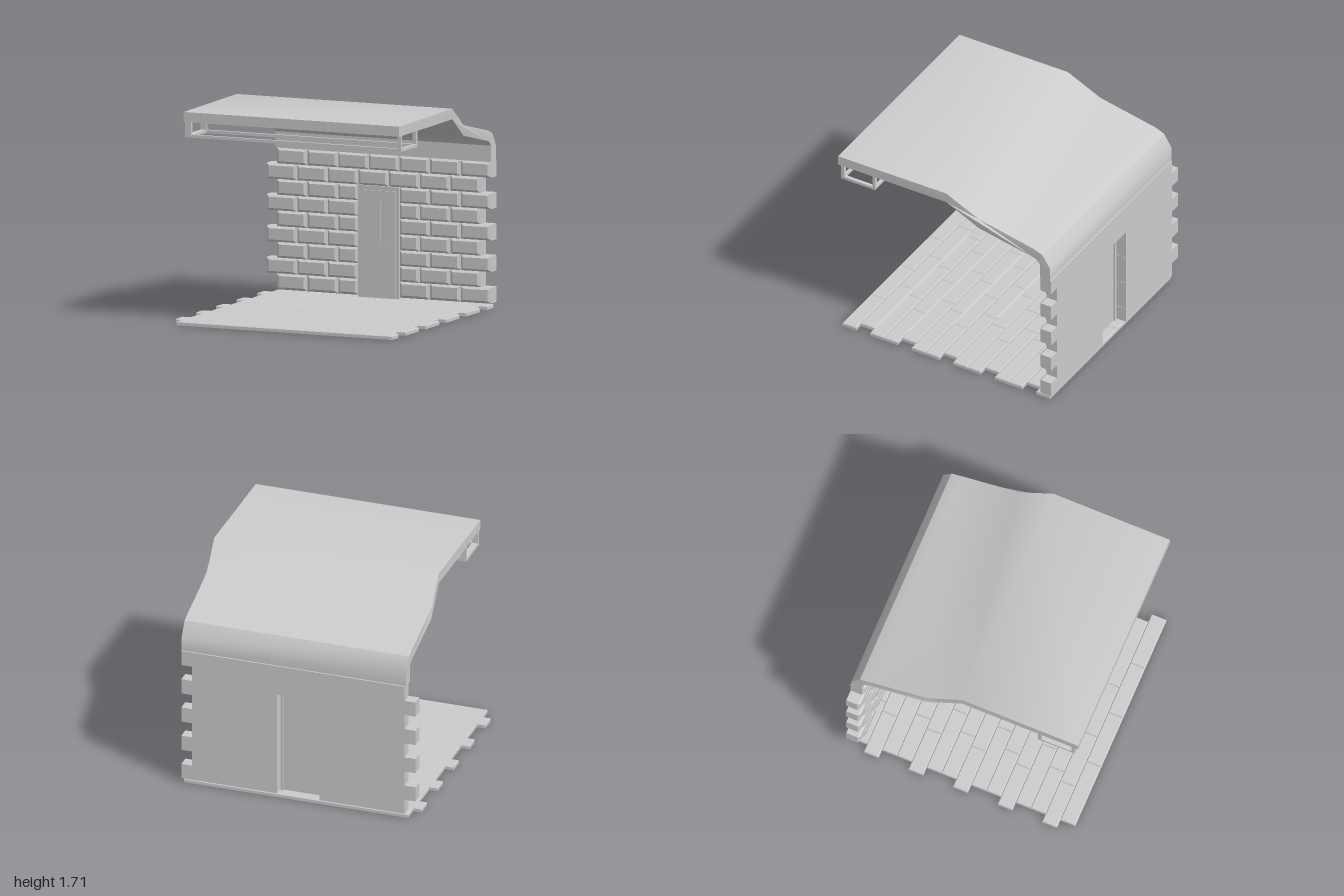
import * as THREE from 'three';
import { toCreasedNormals } from 'three/addons/utils/BufferGeometryUtils.js';

const mat = new THREE.MeshStandardMaterial({ color: 0xcccccc });

function add(parent, name, geometry, x = 0, y = 0, z = 0) {
  const mesh = new THREE.Mesh(geometry, mat);
  mesh.name = name;
  mesh.position.set(x, y, z);
  parent.add(mesh);
  return mesh;
}

function group(parent, name) {
  const g = new THREE.Group();
  g.name = name;
  parent.add(g);
  return g;
}

// Box given by its limits
function block(parent, name, x0, x1, y0, y1, z0, z1) {
  return add(parent, name, new THREE.BoxGeometry(x1 - x0, y1 - y0, z1 - z0),
    (x0 + x1) / 2, (y0 + y1) / 2, (z0 + z1) / 2);
}

// Box whose +z face is chamfered all round
function chamferedBox(w, h, d, insetX, insetY, bevel) {
  const geo = new THREE.BoxGeometry(w, h, d, 1, 1, 2);
  const p = geo.attributes.position;
  for (let i = 0; i < p.count; i++) {
    const x = p.getX(i), y = p.getY(i), z = p.getZ(i);
    if (z > d / 4) p.setXY(i, x - Math.sign(x) * insetX, y - Math.sign(y) * insetY);
    else if (z > -d / 4) p.setZ(i, d / 2 - bevel);
  }
  return toCreasedNormals(geo, 0.6);
}

function rectPath(Type, x0, x1, y0, y1) {
  const s = new Type();
  s.moveTo(x0, y0).lineTo(x1, y0).lineTo(x1, y1).lineTo(x0, y1).closePath();
  return s;
}

// Bent roof: side profile swept across x, with its rear sheared to one side
function roofGeometry() {
  const profile = [
    [0.96, 1.70], [-0.03, 1.71], [-0.31, 1.54], [-0.80, 1.43], [-0.88, 1.40], [-0.95, 1.29], [-0.95, 1.17],
    [-0.86, 1.17], [-0.86, 1.30], [-0.82, 1.34], [-0.31, 1.455], [-0.03, 1.625], [0.96, 1.62],
  ].map(([z, y]) => new THREE.Vector2(z, y));
  const geo = new THREE.ExtrudeGeometry(new THREE.Shape(profile), { depth: 1.87, bevelEnabled: false });
  geo.rotateY(-Math.PI / 2).translate(1, 0, 0);
  const p = geo.attributes.position;
  for (let i = 0; i < p.count; i++) {
    const z = p.getZ(i);
    const near = THREE.MathUtils.clamp((-0.03 - z) / 0.28, 0, 1);
    const far = THREE.MathUtils.clamp((-0.31 - z) / 0.49, 0, 1);
    p.setX(i, p.getX(i) - 0.035 * near - 0.014 * far);
  }
  return toCreasedNormals(geo, 0.62);
}

export function createModel() {
  const model = new THREE.Group();
  model.name = 'buildingSection';

  add(model, 'roof', roofGeometry());

  // Brick wall, running bond, with a doorway
  const wall = group(model, 'brickWall');
  const rowH = 0.125, brickW = 0.2657, front = -0.847, back = -0.962;
  const doorL = -0.2, doorR = 0.155, doorTop = 0.92;
  for (let row = 0; row < 9; row++) {
    const start = row % 2 ? -1 : -0.91;
    const y0 = 0.045 + row * rowH;
    for (let i = 0; i < 7; i++) {
      let x0 = start + i * brickW, x1 = x0 + brickW;
      if (y0 + rowH / 2 < doorTop) {
        // Trim bricks that reach into the doorway
        const mid = (doorL + doorR) / 2;
        if (x0 < mid && x1 > doorL) x1 = doorL;
        if (x1 > mid && x0 < doorR && x0 >= doorL - 0.01) x0 = doorR;
        if (x1 - x0 < 0.06) continue;
      }
      const geo = chamferedBox(x1 - x0, rowH, front - back, 0.025, 0.018, 0.02);
      add(wall, 'brick', geo, (x0 + x1) / 2, y0 + rowH / 2, (front + back) / 2);
    }
  }

  // Door with frame, window and handle
  const door = group(model, 'door');
  block(door, 'frameLeft', 0.13, doorR, 0.03, doorTop, -0.875, -0.848);
  block(door, 'frameRight', doorL, -0.18, 0.03, doorTop, -0.875, -0.848);
  block(door, 'frameTop', -0.18, 0.13, 0.885, doorTop, -0.875, -0.848);
  const leaf = rectPath(THREE.Shape, -0.18, 0.13, 0.03, 0.885);
  leaf.holes.push(rectPath(THREE.Path, 0, 0.105, 0.475, 0.8));
  add(door, 'doorLeaf', new THREE.ExtrudeGeometry(leaf, { depth: 0.008, bevelEnabled: false }), 0, 0, -0.848);
  block(door, 'doorBack', -0.18, 0.13, 0.03, 0.885, -0.86, -0.848);
  block(door, 'windowPane', 0, 0.105, 0.475, 0.8, -0.85, -0.845);
  block(door, 'handleStem', 0.083, 0.093, 0.408, 0.418, -0.84, -0.822);
  block(door, 'handleLever', 0.053, 0.095, 0.408, 0.418, -0.825, -0.818);

  // Plank floor: every third row is shifted sideways
  const floor = group(model, 'plankFloor');
  const pitch = 1.9 / 15, thick = 0.032;
  const joints = [
    [-0.93, -0.4, 0.045, 0.495, 0.935],
    [-1, -0.63, -0.18, 0.27, 0.865],
    [-0.93, -0.55, -0.1, 0.35, 0.935],
  ];
  for (let k = 0; k < 15; k++) {
    const xs = joints[k % 3];
    const z = 0.96 - (k + 0.5) * pitch;
    for (let i = 0; i < xs.length - 1; i++) {
      const geo = chamferedBox(xs[i + 1] - xs[i], pitch, thick, 0.006, 0.008, 0.008);
      add(floor, 'plank', geo.rotateX(-Math.PI / 2), (xs[i] + xs[i + 1]) / 2, thick / 2, z);
    }
  }

  // Open frame hung beneath the front eave
  const rack = group(model, 'hangingFrame');
  for (const [z0, z1] of [[0.62, 0.645], [0.905, 0.93]]) {
    block(rack, 'rail', -0.87, 1, 1.495, 1.518, z0, z1);
    block(rack, 'postRight', -0.87, -0.82, 1.518, 1.625, z0, z1);
    block(rack, 'postLeft', 0.97, 1, 1.518, 1.625, z0, z1);
  }
  block(rack, 'crossbarRight', -0.87, -0.82, 1.495, 1.518, 0.645, 0.905);
  block(rack, 'crossbarLeft', 0.97, 1, 1.495, 1.518, 0.645, 0.905);

  return model;
}
